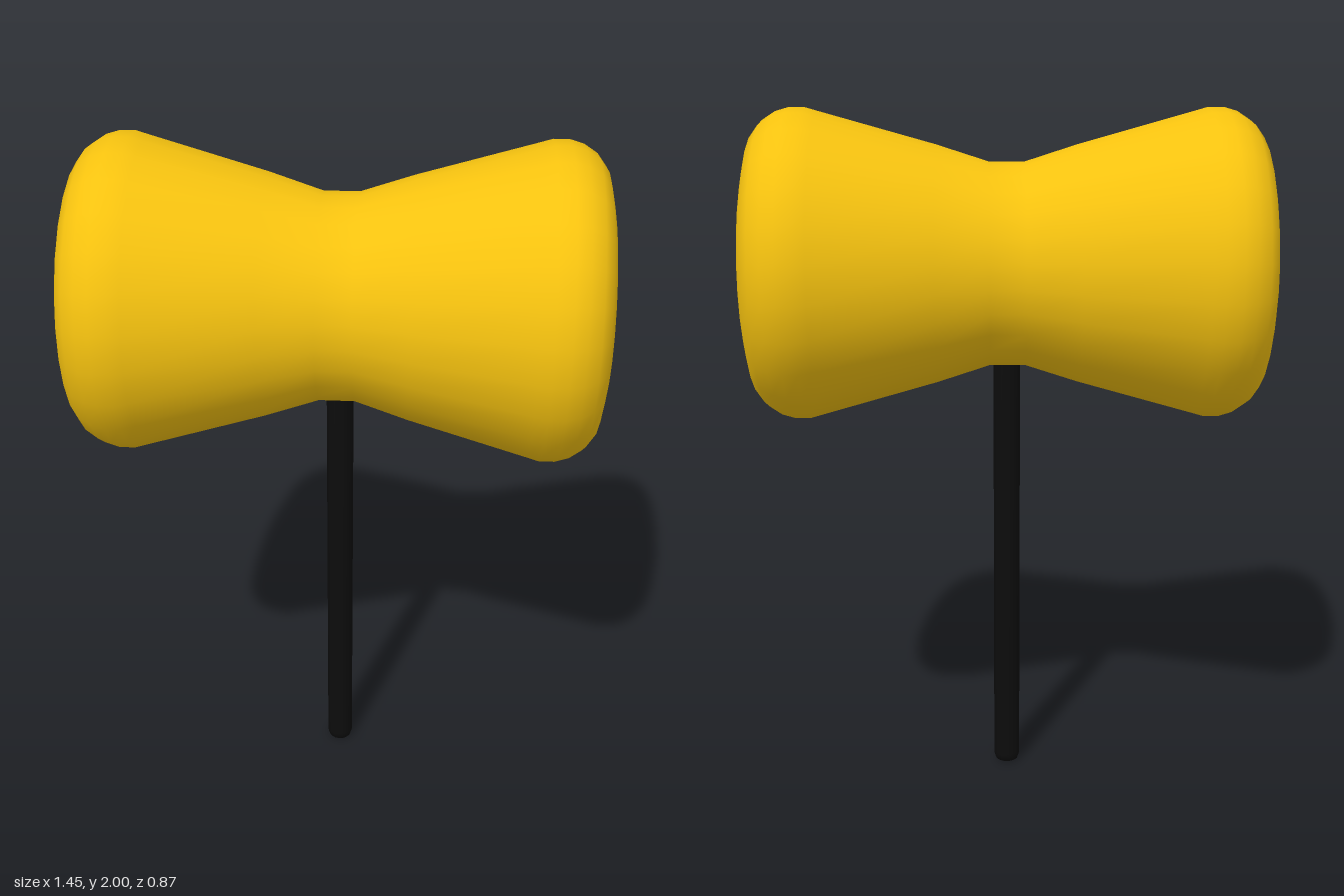
import * as THREE from 'three';

const material = (color) => new THREE.MeshStandardMaterial({ color });

function lathe(name, points, sides, mat) {
  const geometry = new THREE.LatheGeometry(points.map(([r, y]) => new THREE.Vector2(r, y)), sides);
  const mesh = new THREE.Mesh(geometry, mat);
  mesh.name = name;
  return mesh;
}

export function createModel() {
  const group = new THREE.Group();
  group.name = 'mallet';

  // Head: half profile as [radius, distance from the waist], mirrored about the waist
  const half = [
    [0.29, 0.05], [0.338, 0.2], [0.43, 0.53], [0.44, 0.565], [0.44, 0.61],
    [0.429, 0.648], [0.405, 0.685], [0.37, 0.711], [0.31, 0.725], [0.3, 0.727], [0, 0.727],
  ];
  const profile = [...half.map(([r, d]) => [r, -d]).reverse(), ...half];
  const head = lathe('head', profile, 26, material(0xf5c20f));
  head.geometry.rotateY(Math.PI / 2).rotateZ(Math.PI / 2);
  head.position.y = 1.56;
  group.add(head);

  // Handle: thin rod with a rounded foot, its top buried in the head
  group.add(lathe('handle', [
    [0, 0], [0.022, 0], [0.034, 0.007], [0.039, 0.022], [0.039, 0.03], [0.039, 1.3], [0, 1.3],
  ], 16, material(0x0c0c0c)));

  return group;
}
